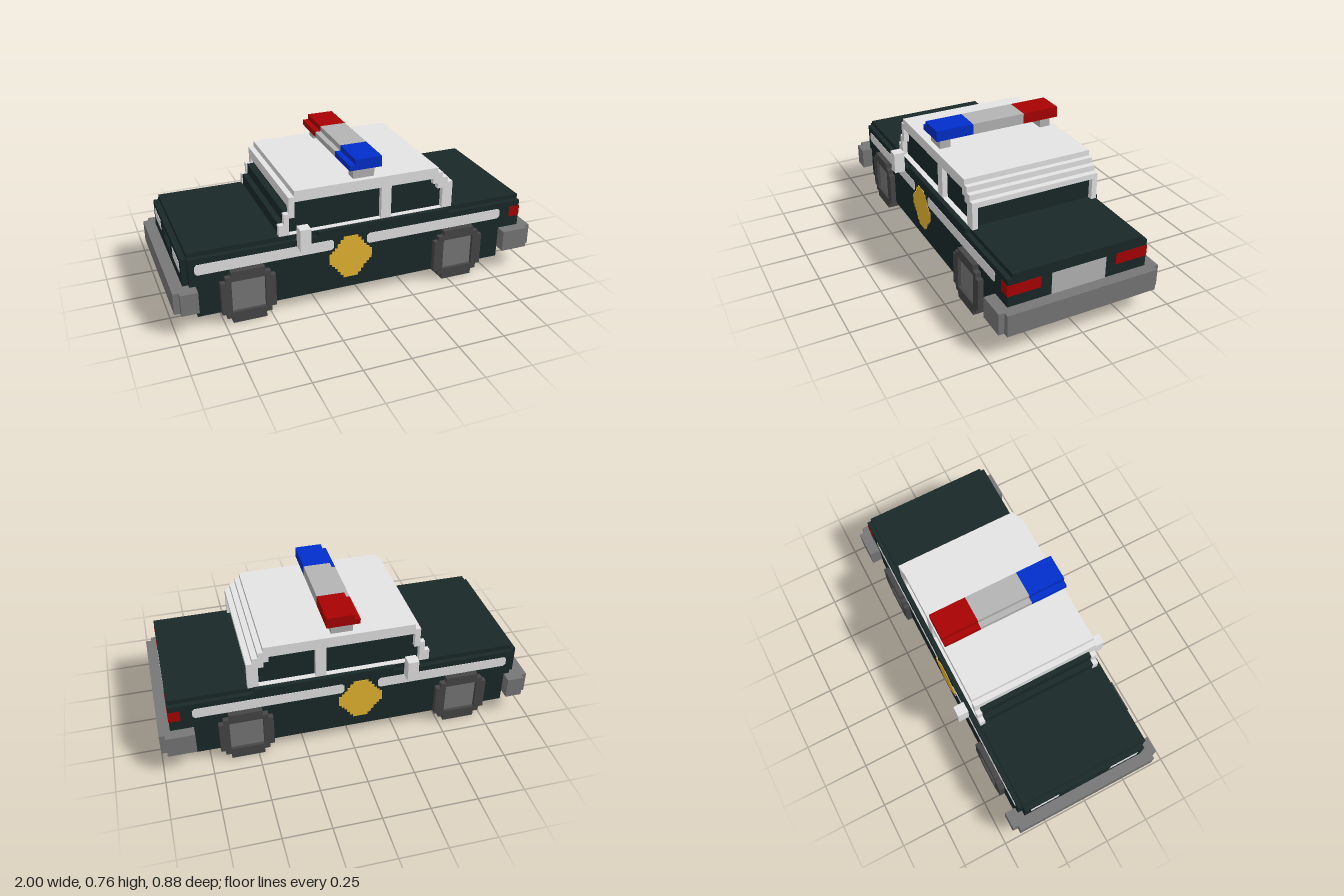
import * as THREE from 'three';

const mat = (name, color) => { const m = new THREE.MeshStandardMaterial({ color }); m.name = name; return m; };

export function createModel() {
  const car = new THREE.Group();
  car.name = 'patrolCar';
  const dark = mat('dark paint', 0x1a2828), light = mat('light paint', 0xe4e4e4);
  const silver = mat('silver', 0xb4b4b4), grey = mat('bumper grey', 0x777777);
  const rubber = mat('rubber', 0x464646), red = mat('red', 0xa80202);
  const blue = mat('blue', 0x022ecc), gold = mat('gold', 0xe6b631);
  const under = mat('underside grey', 0xcccccc);

  const add = (name, geo, m) => {
    const mesh = new THREE.Mesh(geo, m);
    mesh.name = name;
    car.add(mesh);
    return mesh;
  };
  // Box given by its limits on each axis
  const box = (name, m, x0, x1, y0, y1, z0, z1) =>
    add(name, new THREE.BoxGeometry(x1 - x0, y1 - y0, z1 - z0)
      .translate((x0 + x1) / 2, (y0 + y1) / 2, (z0 + z1) / 2), m);
  // The same box on both sides of the car
  const pair = (name, m, x0, x1, y0, y1, z0, z1) => {
    box(name, m, x0, x1, y0, y1, z0, z1);
    box(name, m, x0, x1, y0, y1, -z1, -z0);
  };
  const path = (pts, C = THREE.Shape) => new C(pts.map(p => new THREE.Vector2(...p)));
  // Side profile extruded from z0 to z1
  const slab = (name, m, pts, z0, z1, holes = []) => {
    const s = path(pts);
    holes.forEach(h => s.holes.push(path(h, THREE.Path)));
    return add(name, new THREE.ExtrudeGeometry(s, { depth: z1 - z0, bevelEnabled: false }).translate(0, 0, z0), m);
  };
  const slabPair = (name, m, pts, z0, z1, holes) => {
    slab(name, m, pts, z0, z1, holes);
    slab(name, m, pts, -z1, -z0, holes);
  };

  // Body, with a narrower top layer on bonnet and boot, sills and floor
  box('lowerBody', dark, -0.88, 0.82, 0.12, 0.24, -0.38, 0.38);
  box('upperBody', dark, -0.91, 0.94, 0.235, 0.387, -0.38, 0.38);
  box('bonnetAndBoot', dark, -0.91, 0.94, 0.387, 0.412, -0.355, 0.355);
  pair('windowLedge', dark, -0.24, 0.5, 0.387, 0.412, 0.355, 0.38);
  pair('sill', dark, -0.88, 0.82, 0.06, 0.12, 0.325, 0.38);
  box('floor', silver, -0.88, 0.82, 0.064, 0.12, -0.325, 0.325);
  box('undersidePlate', under, -0.88, 0.82, 0.06, 0.064, -0.325, 0.325);

  // Nose around a recessed grille, with headlights
  pair('nose', dark, -0.94, -0.91, 0.235, 0.385, 0.09, 0.355);
  box('noseTop', dark, -0.94, -0.91, 0.355, 0.385, -0.09, 0.09);
  box('noseBottom', dark, -0.94, -0.91, 0.235, 0.295, -0.09, 0.09);
  pair('headlight', light, -0.942, -0.938, 0.297, 0.355, 0.155, 0.32);

  // Rear lights and number plate
  pair('tailLight', red, 0.88, 0.942, 0.295, 0.355, 0.206, 0.382);
  box('numberPlate', silver, 0.938, 0.942, 0.235, 0.355, -0.148, 0.148);

  // Bumpers with stepped ends
  box('rearBumper', grey, 0.82, 0.97, 0.12, 0.237, -0.44, 0.44);
  box('rearBumperFace', grey, 0.97, 1, 0.12, 0.237, -0.41, 0.41);
  box('frontBumper', grey, -0.97, -0.88, 0.12, 0.237, -0.44, 0.44);
  box('frontBumperFace', grey, -1, -0.97, 0.12, 0.237, -0.41, 0.41);

  // Side stripes with clipped corners
  for (const [a, b] of [[-0.88, -0.155], [0.028, 0.82]]) {
    const c = 0.012;
    slabPair('sideStripe', light, [[a + c, 0.297], [b - c, 0.297], [b, 0.297 + c], [b, 0.355 - c],
      [b - c, 0.355], [a + c, 0.355], [a, 0.355 - c], [a, 0.297 + c]], 0.378, 0.382);
  }

  // Stepped diamond badge: one quarter mirrored four ways
  const q = [[0.118, 0.03], [0.103, 0.03], [0.103, 0.045], [0.088, 0.045], [0.088, 0.06], [0.073, 0.06],
    [0.073, 0.082], [0.058, 0.082], [0.058, 0.103], [0.04, 0.103], [0.04, 0.12]];
  const mirror = (sx, sy) => q.map(([x, y]) => [-0.062 + sx * x, 0.24 + sy * y]);
  const badge = [...mirror(1, 1), ...mirror(-1, 1).reverse(), ...mirror(-1, -1), ...mirror(1, -1).reverse()];
  slabPair('sideBadge', gold, badge, 0.379, 0.3835);

  // Blocky wheels with a square hub set into the tyre
  for (const x of [-0.62, 0.555]) {
    const w = [[0.142, 0.06], [0.142, 0.09], [0.117, 0.09], [0.117, 0.117], [0.088, 0.117], [0.088, 0.147]];
    const m = (sx, sy) => w.map(([a, b]) => [x + sx * a, 0.148 + sy * b]);
    const tyre = [...m(1, 1), ...m(-1, 1).reverse(), ...m(-1, -1), ...m(1, -1).reverse()];
    const hole = [[x - 0.088, 0.063], [x - 0.088, 0.24], [x + 0.088, 0.24], [x + 0.088, 0.063]];
    slabPair('tyre', rubber, tyre, 0.325, 0.41, [hole]);
    pair('hub', grey, x - 0.088, x + 0.088, 0.063, 0.24, 0.33, 0.392);
  }

  // Cabin side frames with window openings
  const frame = [[-0.44, 0.41], [0.528, 0.41], [0.528, 0.56], [0.498, 0.56], [0.498, 0.59], [0.468, 0.59],
    [0.468, 0.62], [0.44, 0.62], [0.44, 0.65], [-0.355, 0.65], [-0.355, 0.618], [-0.385, 0.618],
    [-0.385, 0.53], [-0.412, 0.53], [-0.412, 0.472], [-0.44, 0.472]];
  const frontWindow = [[-0.385, 0.415], [0.117, 0.415], [0.117, 0.59], [-0.355, 0.59], [-0.355, 0.505], [-0.385, 0.505]];
  const rearWindow = [[0.173, 0.415], [0.47, 0.415], [0.47, 0.53], [0.44, 0.53], [0.44, 0.56],
    [0.413, 0.56], [0.413, 0.59], [0.173, 0.59]];
  slabPair('cabinFrame', light, frame, 0.325, 0.355, [frontWindow, rearWindow]);

  // Roof with stepped edges, over a dark glass core
  slab('roof', light, [[-0.385, 0.562], [0.46, 0.562], [0.46, 0.53], [0.528, 0.53], [0.528, 0.56], [0.498, 0.56],
    [0.498, 0.59], [0.468, 0.59], [0.468, 0.62], [0.44, 0.62], [0.44, 0.65], [-0.355, 0.65],
    [-0.355, 0.618], [-0.385, 0.618]], -0.325, 0.325);
  slab('glass', dark, [[-0.435, 0.41], [0.5, 0.41], [0.5, 0.535], [0.475, 0.535], [0.475, 0.565], [0.44, 0.565],
    [0.44, 0.6], [-0.37, 0.6], [-0.37, 0.53], [-0.405, 0.53], [-0.405, 0.472], [-0.435, 0.472]], -0.326, 0.326);

  // Door mirrors
  pair('doorMirror', light, -0.355, -0.297, 0.355, 0.472, 0.38, 0.44);

  // Roof light bar on two posts
  pair('lightPost', silver, -0.03, 0.086, 0.65, 0.708, 0.265, 0.325);
  for (const [name, m, z0, z1] of [['redLight', red, -0.353, -0.148], ['lightBarCentre', silver, -0.148, 0.148],
    ['blueLight', blue, 0.148, 0.353]]) {
    box(name, m, -0.03, 0.115, 0.708, 0.766, z0, z1);
    box(name + 'Lip', m, -0.06, -0.03, 0.708, 0.737, z0, z1);
  }
  return car;
}
